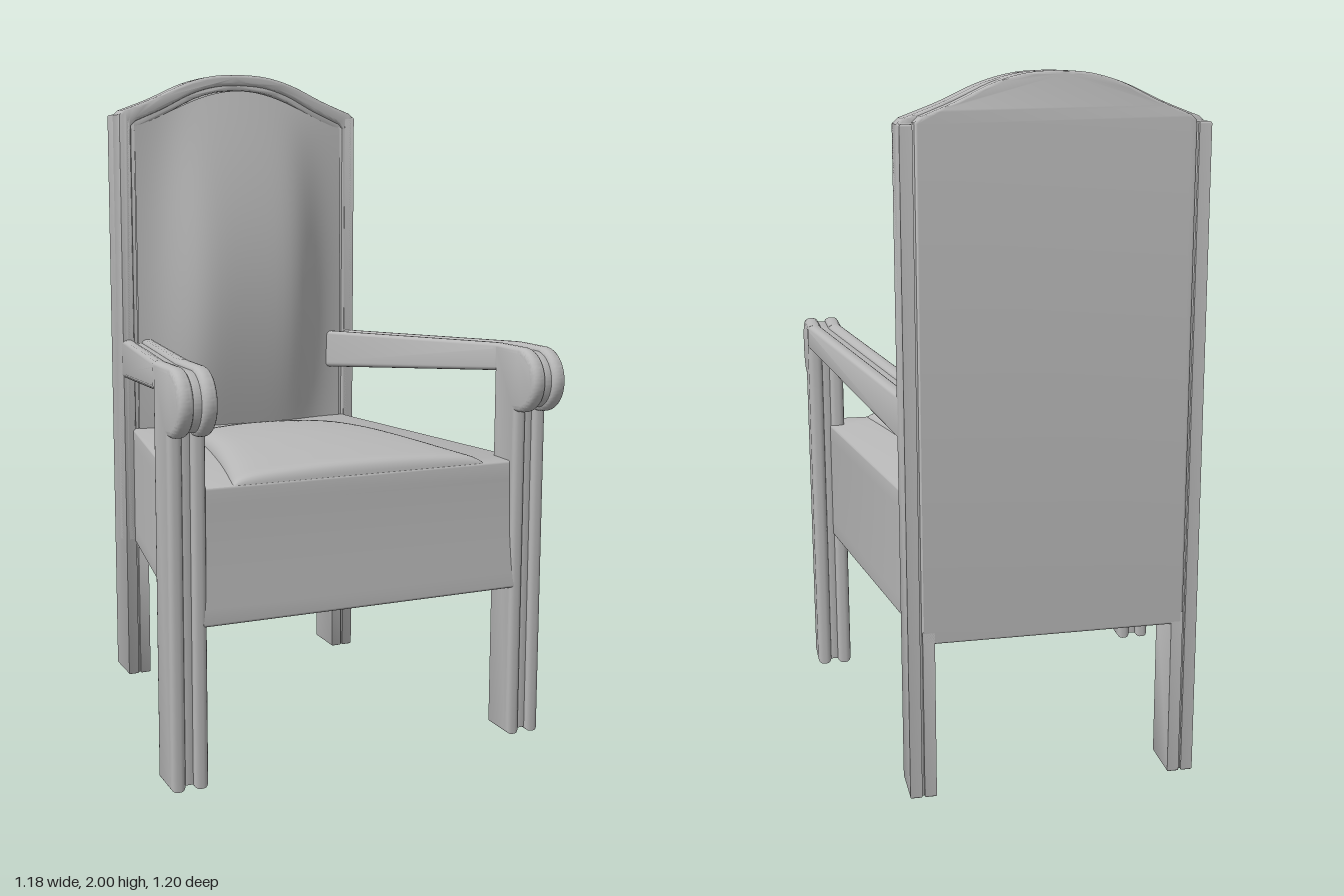
import * as THREE from 'three';
import { toCreasedNormals } from 'three/addons/utils/BufferGeometryUtils.js';

const grey = new THREE.MeshStandardMaterial({ color: 0xb8b8b8 });
grey.name = 'plainGrey';

function add(group, name, geometry) {
  const mesh = new THREE.Mesh(geometry, grey);
  mesh.name = name;
  group.add(mesh);
}

const polygon = (points) => new THREE.Shape(points.map(([x, y]) => new THREE.Vector2(x, y)));

// Extrusion from 0 to depth with rounded edges kept inside the outline
function slab(shape, depth, bevel, inset = 0, steps = 1) {
  const geometry = new THREE.ExtrudeGeometry(shape, {
    depth: depth - 2 * bevel, bevelEnabled: true, bevelThickness: bevel, bevelSize: bevel,
    bevelOffset: -bevel - inset, bevelSegments: 4, curveSegments: 28, steps,
  });
  geometry.translate(0, 0, bevel);
  return toCreasedNormals(geometry, 0.7);
}

// Front leg with scroll, drawn as (z, y)
function legShape() {
  const s = new THREE.Shape();
  s.moveTo(0.38, 0);
  s.lineTo(0.5, 0);
  s.lineTo(0.5, 0.99);
  s.absarc(0.507, 1.085, 0.095, -Math.PI / 2, Math.PI / 2, false);
  s.lineTo(0.38, 1.18);
  s.closePath();
  return s;
}

// Sloping armrest, drawn as (z, y); sink lowers its top
const restShape = (sink) => polygon([[-0.49, 1.012], [0.4, 1.1], [0.4, 1.18 - sink], [0.37, 1.18 - sink], [-0.49, 1.138 - sink]]);

// Stands a (z, y) slab upright with its thickness along x
function upright(shape, side, x, width, bevel, inset) {
  const g = slab(shape, width, bevel, inset);
  return g.rotateY(-Math.PI / 2).translate(side * (x + width / 2) + width / 2, 0, 0);
}

// Moves every vertex by a rule and renews the normals
function reshape(g, rule) {
  const p = g.attributes.position;
  for (let i = 0; i < p.count; i++) p.setXYZ(i, ...rule(p.getX(i), p.getY(i), p.getZ(i)));
  return toCreasedNormals(g, 0.7);
}

// One arm and front leg: two rolls with a sunk strip between them
function buildArm(side) {
  const arm = new THREE.Group();
  arm.name = side > 0 ? 'leftArm' : 'rightArm';
  const splay = (x, y, z) => [x - side * 0.2 * Math.max(0, 0.38 - z), y, z];
  const layers = [['innerRoll', 0.477, 0.017, 0], ['grooveStrip', 0.51, 0.004, 0.012], ['outerRoll', 0.543, 0.017, 0]];
  for (const [name, x, bevel, sink] of layers) {
    add(arm, name + 'Leg', upright(legShape(), side, x, 0.045, bevel, sink));
    add(arm, name + 'Rest', reshape(upright(restShape(sink), side, x, 0.045, bevel, 0), splay));
  }
  return arm;
}

// Arched outline of the backrest
function backOutline(half, bottom, shoulder, crown, target = new THREE.Shape()) {
  const rise = crown - shoulder;
  const curve = new THREE.SplineCurve([
    [half - 0.015, 0], [half * 0.87, 0.12], [half * 0.7, 0.35], [half * 0.45, 0.74], [half * 0.22, 0.95], [0, 1],
  ].map(([x, k]) => new THREE.Vector2(x, shoulder + rise * k)));
  const arc = curve.getPoints(20);
  const mirrored = arc.slice(0, -1).reverse().map((v) => new THREE.Vector2(-v.x, v.y));
  target.setFromPoints([
    new THREE.Vector2(-half, bottom), new THREE.Vector2(half, bottom),
    new THREE.Vector2(half, shoulder - 0.015), ...arc, ...mirrored,
    new THREE.Vector2(-half, shoulder - 0.015),
  ]);
  return target;
}

// Smooth sheet over u, v in -1..1, with points crowded towards its edges
function sheet(rule) {
  const g = new THREE.PlaneGeometry(2, 2, 40, 40);
  const p = g.attributes.position;
  for (let i = 0; i < p.count; i++) {
    const u = Math.sin(p.getX(i) * Math.PI / 2), v = Math.sin(p.getY(i) * Math.PI / 2);
    p.setXYZ(i, ...rule(u, v));
  }
  g.computeVertexNormals();
  return g;
}

export function createModel() {
  const chair = new THREE.Group();
  chair.name = 'armchair';

  // Seat box, wider at the front, its front face flaring out towards the bottom
  const plan = polygon([[-0.49, -0.5], [0.49, -0.5], [0.525, -0.4], [0.38, 0.5], [-0.38, 0.5], [-0.525, -0.4]]);
  const seat = slab(plan, 0.384, 0.008, 0, 8).rotateX(-Math.PI / 2).translate(0, 0.458, 0);
  add(chair, 'seatBox', reshape(seat, (x, y, z) => {
    const rise = Math.min(1, Math.max(0, (y - 0.46) / 0.38));
    return [x, y, z > 0.45 ? z - 0.018 * Math.sin(rise * Math.PI / 2) : z];
  }));

  // Domed seat cushion, v runs from front to back
  const crown = new THREE.SplineCurve([[-1, 0.88], [-0.5, 0.892], [0, 0.896], [0.45, 0.88], [1, 0.838]]
    .map(([x, y]) => new THREE.Vector2(x, y)));
  add(chair, 'seatCushion', sheet((u, v) => {
    const t = (v + 1) / 2;
    const half = 0.398 - 0.27 * t + 0.1 * t * t;
    const edge = Math.sqrt(Math.max(0, (1 - Math.pow(Math.abs(u), 14)) * (1 - Math.pow(Math.max(0, -v), 40))));
    const top = crown.getPoint(t).y - 0.016 * u * u;
    return [u * half, 0.834 + (top - 0.834) * edge, 0.48 - 0.94 * t];
  }));

  // Arms with front legs
  chair.add(buildArm(1), buildArm(-1));

  // Back posts: a short inner ridge, then a sunk strip and an outer ridge up to the shoulder
  const ridges = [['innerRidge', 0.357, 0.034, 0, 0.5], ['grooveStrip', 0.378, 0.03, 0.01, 1.868], ['outerRidge', 0.398, 0.034, 0, 1.868]];
  for (const side of [1, -1]) {
    const post = new THREE.Group();
    post.name = side > 0 ? 'leftBackPost' : 'rightBackPost';
    for (const [name, x, width, inset, height] of ridges) {
      const section = polygon([[-width / 2, 0.465 + inset], [width / 2, 0.465 + inset],
        [width / 2, 0.6 - inset], [-width / 2, 0.6 - inset]]);
      add(post, name, slab(section, height, 0.006).rotateX(-Math.PI / 2).translate(side * x, 0, 0));
    }
    chair.add(post);
  }

  // Backrest: front frame, bead around the cushion, and the plain panel behind
  const frame = backOutline(0.415, 0.46, 1.88, 2);
  frame.holes.push(backOutline(0.375, 0.62, 1.845, 1.965, new THREE.Path()));
  add(chair, 'backFrame', slab(frame, 0.085, 0.01).translate(0, 0, -0.55));
  const bead = backOutline(0.385, 0.6, 1.852, 1.972);
  bead.holes.push(backOutline(0.362, 0.64, 1.828, 1.948, new THREE.Path()));
  add(chair, 'backBead', slab(bead, 0.08, 0.006).translate(0, 0, -0.555));
  add(chair, 'backPanel', slab(backOutline(0.375, 0.46, 1.886, 2), 0.101, 0.008).translate(0, 0, -0.6));

  // Bulging back cushion, arched along the top and flat at the sides
  add(chair, 'backCushion', sheet((u, v) => {
    const t = (v + 1) / 2;
    const archTop = 1.83 + 0.118 * Math.pow(Math.max(0, Math.cos(u * Math.PI / 2)), 1.3);
    const bulge = Math.sin(Math.PI * (0.1 + 0.9 * t));
    const across = 1 / (1 + Math.pow(Math.abs(u) / 0.66, 6));
    return [u * 0.364, 0.82 + (archTop - 0.82) * t, -0.472 + 0.108 * bulge * across];
  }));

  return chair;
}
